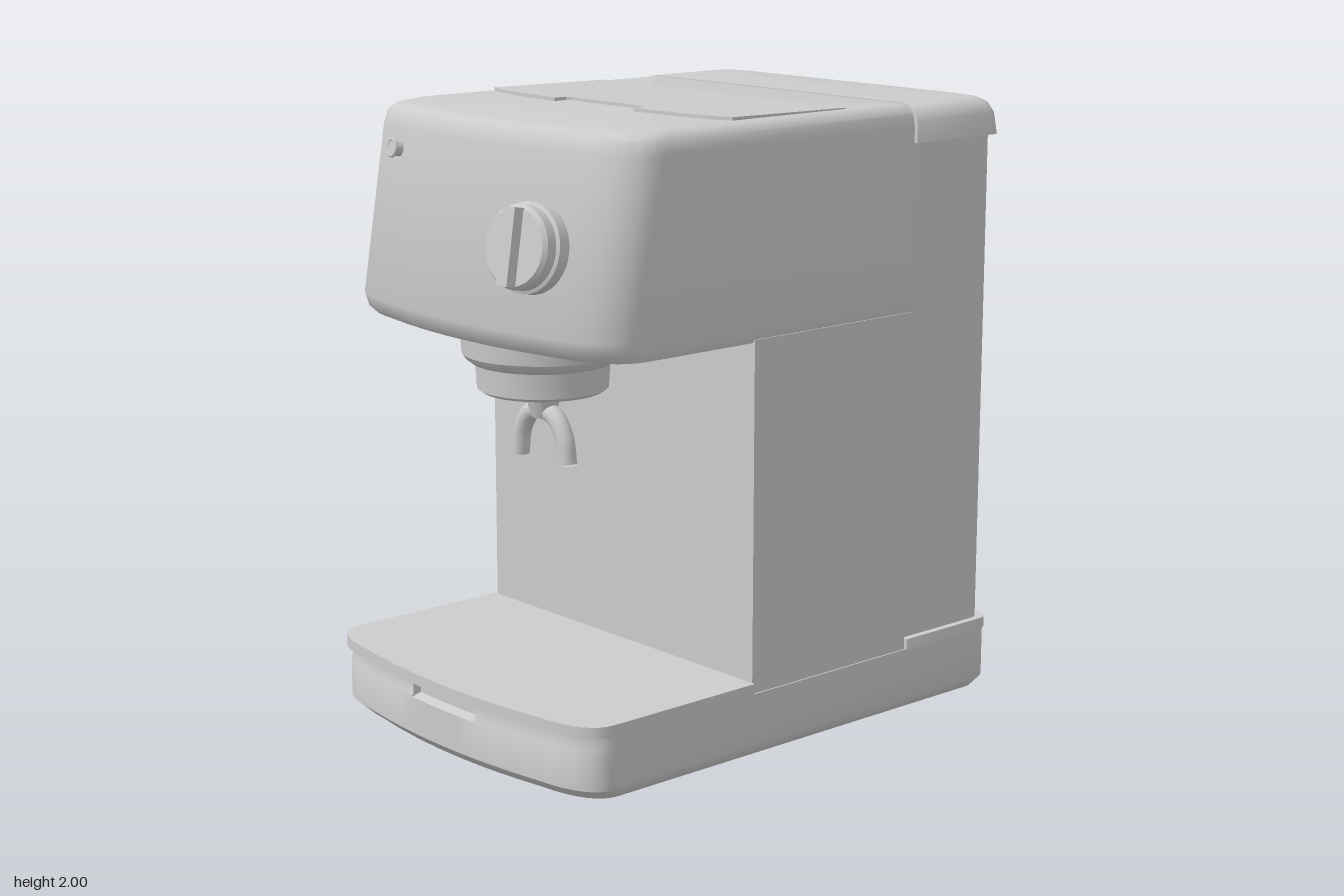
import * as THREE from 'three';
import { toCreasedNormals } from 'three/addons/utils/BufferGeometryUtils.js';

const material = new THREE.MeshStandardMaterial({ color: 0xcccccc, side: THREE.DoubleSide });

// Plan outline: bowed front at xf, flat back at xb, elliptical corners [along x, along z]
function plan({ xf, xb, w, bow = 0, front = [0.001, 0.001], back = [0.001, 0.001], notch = 0 }) {
  const half = [];
  const corner = (a, c, b) => {
    const curve = new THREE.QuadraticBezierCurve(new THREE.Vector2(...a), new THREE.Vector2(...c), new THREE.Vector2(...b));
    curve.getPoints(8).forEach(p => half.push([p.x, p.y]));
  };
  const zf = w - front[1], x1 = xf + bow;
  corner([xb, w - back[1]], [xb, w], [xb - back[0], w]);
  corner([x1 + front[0], w], [x1 + front[0] * 0.15, w], [x1, zf]);
  for (const z of [zf * 0.75, zf * 0.5, 0.155, 0.15, 0.07])
    half.push([xf + bow * (z / zf) ** 2 + (z <= 0.15 ? notch : 0), z]);
  const mirrored = half.map(([x, z]) => [x, -z]).reverse();
  return [...half, [xf + notch, 0], ...mirrored];
}

// Skin through outlines stacked in y; openBack leaves out the flat back face
function loft(levels, common, openBack = false) {
  const loops = levels.map(l => plan({ ...common, ...l }));
  const n = loops[0].length, pos = [];
  const add = (...pts) => pts.forEach(p => pos.push(...p));
  const at = (k, i) => [loops[k][i % n][0], levels[k].y, loops[k][i % n][1]];
  const last = levels.length - 1;
  for (let i = 0; i < n; i++) {
    for (let k = 0; k < last && !(openBack && i === n - 1); k++) {
      const a0 = at(k, i), b0 = at(k, i + 1), a1 = at(k + 1, i), b1 = at(k + 1, i + 1);
      add(b0, a0, a1, b0, a1, b1);
    }
    add([0.5 * (loops[0][0][0] + levels[0].xf || 0), levels[0].y, 0], at(0, i), at(0, i + 1));
    add([0.5 * (loops[last][0][0] + levels[last].xf || 0), levels[last].y, 0], at(last, i + 1), at(last, i));
  }
  const g = new THREE.BufferGeometry();
  g.setAttribute('position', new THREE.Float32BufferAttribute(pos, 3));
  return toCreasedNormals(g, 0.7);
}

const poly = pts => pts.map(p => new THREE.Vector2(...p));
const trapezoid = (top, yTop, bottom, yBottom) => poly([[-bottom, yBottom], [bottom, yBottom], [top, yTop], [-top, yTop]]);

// Plate facing +x, outlined in z and y
function backPlate(outline, depth, hole) {
  const s = new THREE.Shape(outline);
  if (hole) s.holes.push(new THREE.Path(hole));
  return new THREE.ExtrudeGeometry(s, { depth, bevelEnabled: false }).rotateY(Math.PI / 2);
}

export function createModel() {
  const model = new THREE.Group();
  model.name = 'coffeeMachine';
  const add = (name, geometry, x = 0, y = 0, z = 0, parent = model) => {
    const m = new THREE.Mesh(geometry, material);
    m.name = name;
    m.position.set(x, y, z);
    parent.add(m);
    return m;
  };

  // Base with a rounded underside and a grip notch below the tray
  const basePlan = { bow: 0.035, front: [0.12, 0.2], back: [0.06, 0.13] };
  add('base', loft([
    { y: 0.055, xf: -0.82, xb: 0.835, w: 0.575 },
    { y: 0.065, xf: -0.845, xb: 0.86, w: 0.6 },
    { y: 0.1, xf: -0.88, xb: 0.885, w: 0.625 },
    { y: 0.215, xf: -0.88, xb: 0.885, w: 0.625 },
    { y: 0.225, xf: -0.875, xb: 0.885, w: 0.625, notch: 0.025 },
    { y: 0.265, xf: -0.875, xb: 0.885, w: 0.625, notch: 0.025 },
  ], basePlan));
  add('dripTray', loft([0.265, 0.3].map(y => ({ y, xf: -0.89, xb: -0.18 })),
    { w: 0.632, bow: 0.035, front: [0.12, 0.2] }));
  add('rearRim', loft([0.265, 0.3].map(y => ({ y, xf: 0.48, xb: 0.885 })), { w: 0.632, back: [0.06, 0.13] }));
  add('rearApron', backPlate(trapezoid(0.19, 0.387, 0.37, 0.295), 0.025), 0.86);
  for (const x of [-0.52, 0.54]) for (const z of [-0.41, 0.41])
    add('foot', new THREE.CylinderGeometry(0.063, 0.063, 0.06, 32), x, 0.03, z);

  // Column and overhanging head
  add('column', new THREE.BoxGeometry(0.66, 1.09, 1.24), 0.15, 0.805, 0);
  add('head', loft([
    { y: 1.34, xf: -0.785, w: 0.612 },
    { y: 1.36, xf: -0.805, w: 0.62 },
    { y: 1.4, xf: -0.818, w: 0.62 },
    { y: 1.92, xf: -0.73, w: 0.62 },
    { y: 1.96, xf: -0.72, w: 0.612 },
    { y: 1.978, xf: -0.7, w: 0.592 },
    { y: 1.987, xf: -0.66, w: 0.56 },
  ], { xb: 0.48, bow: 0.04, front: [0.16, 0.22] }));

  // Water tank with a recessed handle in its back
  add('tank', loft([0.3, 1.872].map(y => ({ y, xf: 0.48 })), { xb: 0.865, w: 0.61, back: [0.06, 0.13] }, true));
  const grip = trapezoid(0.22, 1.86, 0.185, 1.65);
  add('tankBack', backPlate(trapezoid(0.48, 1.872, 0.48, 0.3), 0.1, grip), 0.765);
  add('handleFrame', backPlate(trapezoid(0.262, 1.87, 0.197, 1.63), 0.006,
    trapezoid(0.243, 1.868, 0.187, 1.643)), 0.865);
  add('handleRecess', new THREE.BoxGeometry(0.01, 0.25, 0.5), 0.765, 1.745, 0);
  add('handleSlope', new THREE.ExtrudeGeometry(new THREE.Shape(poly([[0.768, 1.65], [0.86, 1.65], [0.768, 1.755]])),
    { depth: 0.39, bevelEnabled: false }), 0, 0, -0.195);
  add('tankLid', loft([
    { y: 1.872, xf: 0.48, xb: 0.882, w: 0.632 },
    { y: 1.94, xf: 0.48, xb: 0.868, w: 0.63 },
    { y: 1.97, xf: 0.48, xb: 0.855, w: 0.615 },
    { y: 1.985, xf: 0.48, xb: 0.835, w: 0.59 },
    { y: 1.99, xf: 0.48, xb: 0.81, w: 0.56 },
  ], { back: [0.06, 0.13] }));

  // Hinged top flap, slightly raised at its front, with a finger notch
  const flapHalf = [[-0.215, 0.17], [-0.225, 0.185], [-0.27, 0.185], [-0.258, 0.38], [-0.24, 0.48], [-0.215, 0.555], [0.245, 0.555]];
  const flapOutline = [...flapHalf, ...flapHalf.map(([x, z]) => [x, -z]).reverse()];
  const flap = add('topFlap', new THREE.ExtrudeGeometry(new THREE.Shape(poly(flapOutline)),
    { depth: 0.012, bevelEnabled: false }).rotateX(-Math.PI / 2), 0, 1.982, 0);
  flap.rotation.z = -0.014;

  // Brew group and twin spout under the head
  const brew = new THREE.Group();
  brew.name = 'brewGroup';
  brew.position.set(-0.475, 0, 0);
  model.add(brew);
  const turned = pts => toCreasedNormals(new THREE.LatheGeometry(poly(pts), 48), 0.5);
  add('collar', turned([[0, 1.145], [0.185, 1.145], [0.2, 1.155], [0.205, 1.232], [0.215, 1.235], [0.235, 1.25],
    [0.245, 1.265], [0.25, 1.345]]), 0, 0, 0, brew);
  add('spoutStem', turned([[0, 1.06], [0.035, 1.06], [0.042, 1.08], [0.06, 1.145]]), 0, 0, 0, brew);
  for (const side of [-1, 1]) {
    const path = new THREE.CatmullRomCurve3([[1.085, 0], [1.065, 0.06], [1.01, 0.1], [0.93, 0.115]]
      .map(([y, z]) => new THREE.Vector3(0, y, side * z)));
    add('spout', new THREE.TubeGeometry(path, 16, 0.029, 16), 0, 0, 0, brew);
    add('spoutTip', new THREE.CircleGeometry(0.029, 16).rotateX(Math.PI / 2), 0, 0.93, side * 0.115, brew);
  }

  // Control knob and indicator, square to the sloping front
  const onFace = (name, x, y, z, nz) => {
    const g = new THREE.Group();
    g.name = name;
    g.position.set(x, y, z);
    g.lookAt(x - 0.98, y + 0.17, z + nz);
    model.add(g);
    return g;
  };
  const knob = onFace('controlKnob', -0.755, 1.645, 0.31, 0.12);
  add('knobDial', turned([[0.132, -0.02], [0.132, 0.03], [0.122, 0.035], [0.122, 0.068], [0.112, 0.08], [0, 0.08]])
    .rotateX(Math.PI / 2), 0, 0, 0, knob);
  add('knobGrip', new THREE.BoxGeometry(0.045, 0.225, 0.05), 0, 0, 0.09, knob);
  const lamp = onFace('indicator', -0.715, 1.86, -0.4, -0.15);
  add('lampRing', new THREE.TorusGeometry(0.025, 0.006, 8, 24), 0, 0, 0.012, lamp);
  add('lampLens', new THREE.CylinderGeometry(0.024, 0.024, 0.03, 24).rotateX(Math.PI / 2), 0, 0, 0, lamp);
  return model;
}
